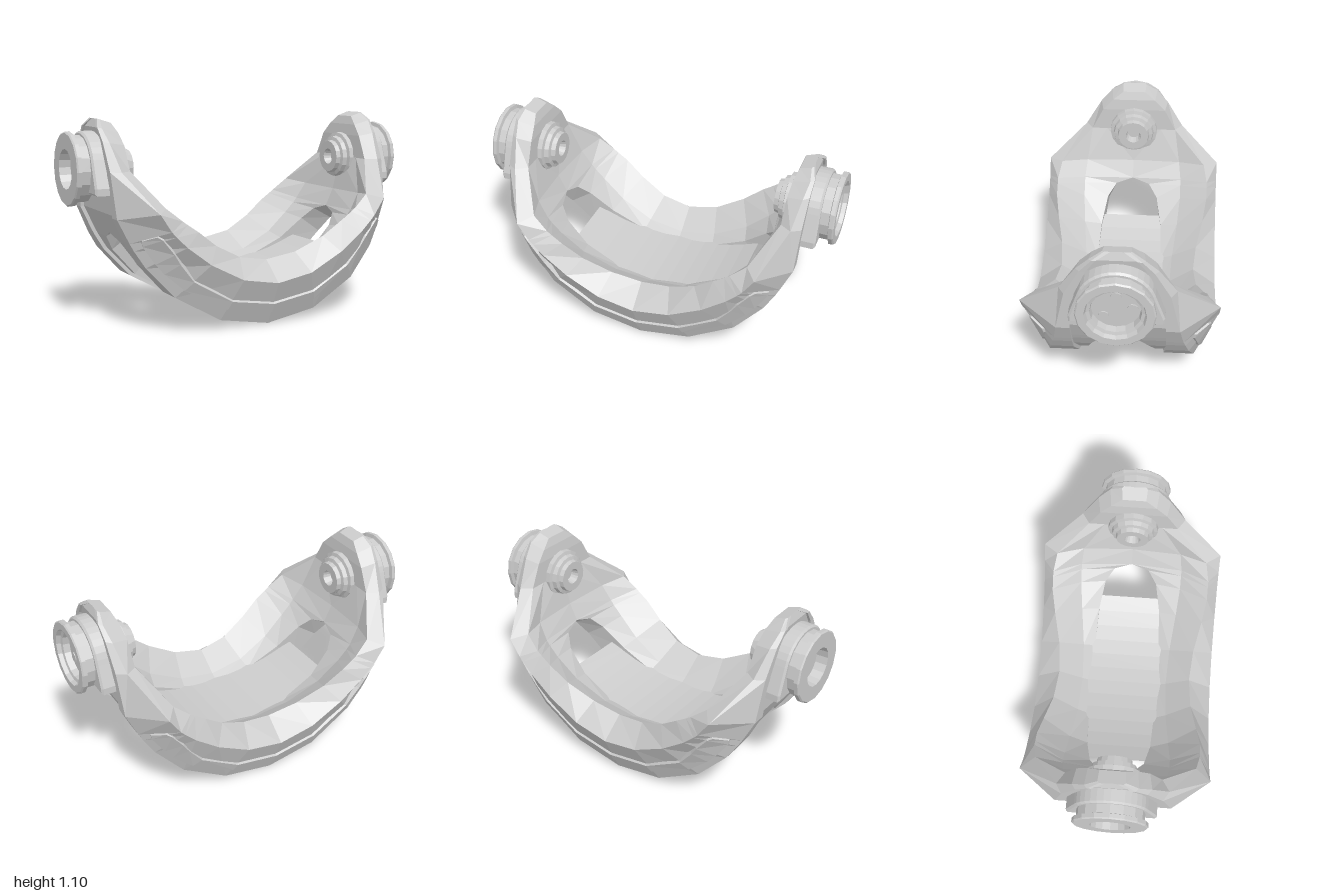
import * as THREE from 'three';

const grey = new THREE.MeshStandardMaterial({ color: 0xcccccc, flatShading: true });
const AXIS_Y = 0.84; // height of the pivot axis, also the centre of the arc

function mesh(name, geometry) {
  const m = new THREE.Mesh(geometry, grey);
  m.name = name;
  return m;
}

// Skin a row of closed loops of Vector3, cap both ends, and face it outward.
function loft(loops) {
  const tris = [];
  const n = loops[0].length;
  for (let i = 0; i < loops.length - 1; i++) {
    for (let j = 0; j < n; j++) {
      const k = (j + 1) % n, p = loops[i], q = loops[i + 1];
      tris.push([p[j], q[j], q[k]], [p[j], q[k], p[k]]);
    }
  }
  const first = loops[0], last = loops[loops.length - 1];
  for (let j = 1; j < n - 1; j++) {
    tris.push([first[0], first[j], first[j + 1]], [last[0], last[j + 1], last[j]]);
  }
  let volume = 0;
  const c = new THREE.Vector3();
  for (const [a, b, d] of tris) volume += a.dot(c.crossVectors(b, d));
  const points = tris.flatMap(([a, b, d]) => (volume < 0 ? [a, d, b] : [a, b, d]));
  const g = new THREE.BufferGeometry().setFromPoints(points);
  g.computeVertexNormals();
  return g;
}

// Rail stations from the bottom centre up to the arm top:
// angle, outer radius, window edge z, strip inner z, strip outer z,
// wing radius, wing z, rim radius, rim z, floor radius
const STATIONS = [
  [0, 0.84, 0.19, 0.21, 0.40, 0.60, 0.51, 0.495, 0.38, 0.62],
  [20, 0.84, 0.19, 0.21, 0.40, 0.60, 0.51, 0.495, 0.395, 0.63],
  [40, 0.84, 0.18, 0.23, 0.39, 0.61, 0.51, 0.505, 0.43, 0.65],
  [55, 0.84, 0.15, 0.24, 0.36, 0.64, 0.51, 0.53, 0.45, 0.67],
  [62, 0.84, 0.10, 0.24, 0.34, 0.66, 0.51, 0.56, 0.45, 0.685],
  [65, 0.84, 0.00, 0.24, 0.33, 0.67, 0.51, 0.575, 0.45, 0.69],
  [74, 0.85, 0.00, 0.24, 0.31, 0.695, 0.51, 0.63, 0.43, 0.70],
  [90, 0.83, 0.00, 0.21, 0.26, 0.78, 0.29, 0.72, 0.25, 0.72],
  [100, 0.85, 0.00, 0.15, 0.18, 0.82, 0.20, 0.735, 0.185, 0.735],
  [104.5, 0.87, 0.00, 0.10, 0.12, 0.85, 0.135, 0.757, 0.125, 0.757],
  [107.5, 0.86, 0.00, 0.03, 0.06, 0.85, 0.07, 0.785, 0.065, 0.785],
];

// Interpolated station at a signed angle
function stationAt(angle) {
  const a = Math.abs(angle);
  let i = 0;
  while (i < STATIONS.length - 2 && STATIONS[i + 1][0] < a) i++;
  const p = STATIONS[i], q = STATIONS[i + 1];
  const t = (a - p[0]) / (q[0] - p[0]);
  return p.map((v, k) => v + (q[k] - v) * t);
}

function polar(angle, r, z) {
  const a = THREE.MathUtils.degToRad(angle);
  return new THREE.Vector3(Math.sin(a) * r, AXIS_Y - Math.cos(a) * r, z);
}

// Cross-section of one rail; side is +1 for the front half, -1 for the back
function railLoop(angle, side) {
  const [, r, zw, zs, zm, rw, zWing, rr, zr, rf] = stationAt(angle);
  const recess = Math.min(0.02, zs * 0.1);
  return [
    [r - recess, zw], [r - recess, zs], [r, zs], [r, zm], [rw, zWing],
    [rr, zr], [rf - 0.25 * (rf - rr), zr * 0.65], [rf, zw],
  ].map(([radius, z]) => polar(angle, radius, z * side));
}

// Raised band along the sloping outer wall of a rail, between fractions a and b
function bandLoop(angle, side, a, b) {
  const [, r, , , zm, rw, zWing] = stationAt(angle);
  const at = (t, lift) =>
    polar(angle, r + (rw - r) * t + lift * 0.5, (zm + (zWing - zm) * t + lift * 0.85) * side);
  return [at(a, -0.02), at(a + 0.04, 0.012), at(b - 0.04, 0.012), at(b, -0.02)];
}

function lathe(name, profile, segments) {
  const m = mesh(name, new THREE.LatheGeometry(profile.map(([r, x]) => new THREE.Vector2(r, x)), segments));
  m.rotation.z = -Math.PI / 2; // turn the lathe axis onto x
  m.position.y = AXIS_Y;
  return m;
}

// Mouths of the two sockets, from the flange face inward (radius, x)
const WIDE_MOUTH = [[0.15, 0.977], [0.142, 0.955], [0.125, 0.95], [0.12, 0.915], [0, 0.915]];
const NARROW_MOUTH = [[0.105, 0.977], [0.1, 0.915], [0, 0.915]];

// Pivot at the +x end: bracket, flanged socket and inner boss
function createPivot(mouth) {
  const g = new THREE.Group();

  // Footed bracket behind the flange
  const s = new THREE.Shape();
  s.moveTo(-0.225, -0.11);
  s.lineTo(0.225, -0.11);
  s.lineTo(0.225, -0.085);
  s.lineTo(0.185, 0.03);
  s.absarc(0, 0, 0.185, 0.3, Math.PI - 0.3, false);
  s.lineTo(-0.225, -0.085);
  const bracket = mesh('pivotBracket', new THREE.ExtrudeGeometry(s, {
    depth: 0.09, curveSegments: 7, bevelEnabled: true, bevelSize: 0.01, bevelThickness: 0.01, bevelSegments: 1,
  }));
  bracket.rotation.y = Math.PI / 2;
  bracket.position.set(0.8, AXIS_Y, 0);
  g.add(bracket);

  g.add(lathe('pivotSocket', [
    [0.175, 0.88], [0.175, 0.945], [0.195, 0.95], [0.195, 0.97], [0.188, 0.977], ...mouth,
  ], 16));
  g.add(lathe('innerBoss', [
    [0, 0.68], [0.035, 0.68], [0.045, 0.635], [0.09, 0.635], [0.095, 0.66],
    [0.115, 0.665], [0.12, 0.69], [0.14, 0.695], [0.14, 0.75],
  ], 16));
  return g;
}

export function createModel() {
  const model = new THREE.Group();
  model.name = 'yoke';
  const body = new THREE.Group();
  body.name = 'yokeBody';
  body.rotation.y = -0.2; // the whole yoke stands slightly turned
  model.add(body);

  // Front and back rails, joined above the windows to form the arms
  const angles = STATIONS.map((s) => s[0]);
  const sweep = [...angles.slice(1).reverse().map((a) => -a), ...angles];
  // Band outline: angle and the two fractions, wide at the ends and slim below
  const half = [[0, 0.28, 0.56], [20, 0.26, 0.54], [40, 0.22, 0.56], [50, 0.2, 0.68], [55, 0.2, 0.74], [63, 0.2, 0.76], [65, 0.26, 0.7]];
  const outline = [...half.slice(1).reverse().map(([a, ...t]) => [-a, ...t]), ...half];
  for (const side of [1, -1]) {
    const prefix = side > 0 ? 'front' : 'back';
    body.add(mesh(prefix + 'Rail', loft(sweep.map((a) => railLoop(a, side)))));
    body.add(mesh(prefix + 'Band', loft(outline.map(([angle, a, b]) => bandLoop(angle, side, a, b)))));
  }

  // Thin curved floor bridging the two rails
  const floorLoops = [];
  for (let i = 0; i <= 12; i++) {
    const x = -0.5 + i / 12;
    const y = 0.235 + 1.1 - Math.sqrt(1.1 * 1.1 - x * x);
    floorLoops.push([[0, 0.27], [0, -0.27], [-0.025, -0.27], [-0.025, 0.27]]
      .map(([dy, z]) => new THREE.Vector3(x, y + dy, z)));
  }
  body.add(mesh('bridgeFloor', loft(floorLoops)));

  // Pivots at both arm ends
  const left = createPivot(WIDE_MOUTH);
  left.name = 'leftPivot';
  // Small studs on the left socket floor
  for (const [y, z] of [[0.07, 0], [0, -0.08], [-0.05, 0.06]]) {
    const stud = lathe('socketStud', [[0.026, 0.905], [0.026, 0.922], [0, 0.922]], 10);
    stud.position.y += y;
    stud.position.z = z;
    left.add(stud);
  }
  const right = createPivot(NARROW_MOUTH);
  right.name = 'rightPivot';
  right.rotation.y = Math.PI;
  body.add(left, right);
  return model;
}
